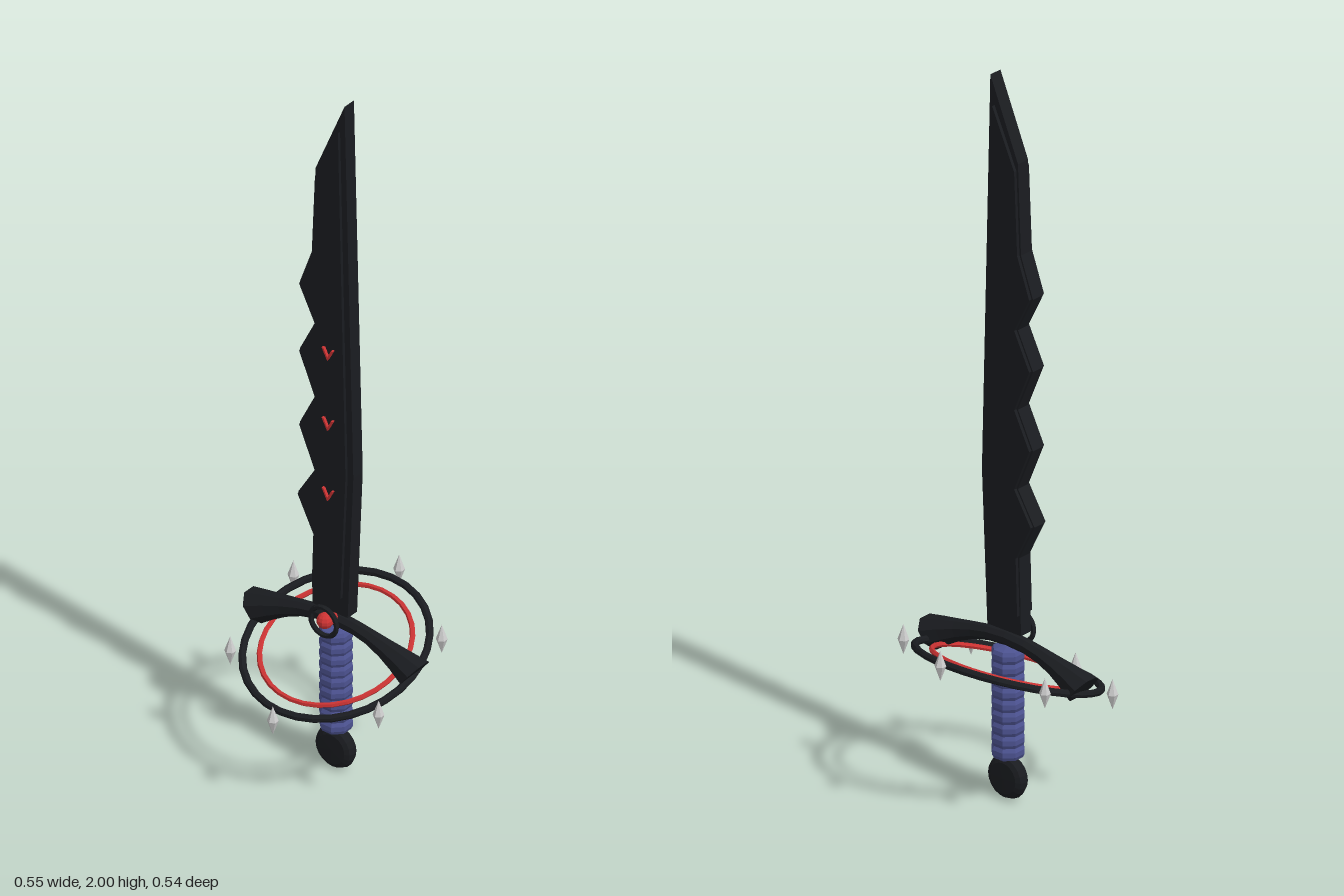
import * as THREE from 'three';

const mat = (color, extra = {}) => new THREE.MeshStandardMaterial({ color, flatShading: true, ...extra });
const black = mat(0x1a1c20), red = mat(0xcc3333), blue = mat(0x4c5290), grey = mat(0xcccccc);
const V = (x, y) => new THREE.Vector2(x, y);

// Flat plate of the given outline, centred on z = 0
function plate(points, depth) {
  const g = new THREE.ExtrudeGeometry(new THREE.Shape(points.map(p => V(...p))), { depth, bevelEnabled: false });
  return g.translate(0, 0, -depth / 2);
}

// Eight-sided bar swept along stations [x, y, radius, tilt]
function sweptBar(stations, sides = 8) {
  const pos = [], idx = [], n = stations.length;
  for (const [x, y, r, tilt] of stations)
    for (let j = 0; j < sides; j++) {
      const a = (j + 0.5) / sides * Math.PI * 2, u = Math.cos(a) * r;
      pos.push(x - Math.sin(tilt) * u, y + Math.cos(tilt) * u, Math.sin(a) * r);
    }
  for (let i = 0; i < n - 1; i++)
    for (let j = 0; j < sides; j++) {
      const a = i * sides + j, b = i * sides + (j + 1) % sides;
      idx.push(a, b, a + sides, b, b + sides, a + sides);
    }
  const last = (n - 1) * sides;
  for (let j = 1; j < sides - 1; j++) idx.push(0, j + 1, j, last, last + j, last + j + 1);
  const g = new THREE.BufferGeometry();
  g.setAttribute('position', new THREE.Float32BufferAttribute(pos, 3));
  g.setIndex(idx);
  g.computeVertexNormals();
  return g;
}

export function createModel() {
  const root = new THREE.Group();
  const add = (name, geo, material, parent = root) => {
    const m = new THREE.Mesh(geo, material);
    m.name = name;
    parent.add(m);
    return m;
  };

  // Blade: thin full outline with a thicker, inset body
  const teeth = [[-0.06, 1.53], [-0.1, 1.42], [-0.05, 1.32], [-0.1, 1.22], [-0.05, 1.1],
    [-0.1, 1.0], [-0.05, 0.88], [-0.105, 0.79], [-0.055, 0.69]];
  add('bladeEdge', plate([[-0.06, 0.475], [0.052, 0.475], [0.07, 0.9], [0.042, 2.0], [-0.05, 1.78], ...teeth], 0.038), black);
  add('bladeBody', plate([[-0.055, 0.53], [0.036, 0.53], [0.052, 0.9], [0.028, 1.92], [-0.045, 1.76],
    ...teeth.map(([x, y]) => [x + 0.005, y])], 0.056), black);

  // Red chevrons on the front of the blade
  for (const y of [0.83, 1.04, 1.25]) {
    const c = add('bladeChevron', plate([[-0.018, 0.016], [0, -0.018], [0.018, 0.016], [0.012, 0.016],
      [0, -0.008], [-0.012, 0.016]], 0.01), red);
    c.position.set(0, y, 0.031);
  }

  // Arched crossguard with flared ends
  const half = [[0.06, 0.441, 0.02, -0.12], [0.11, 0.431, 0.022, -0.25], [0.16, 0.416, 0.028, -0.4],
    [0.205, 0.4, 0.037, -0.53], [0.25, 0.382, 0.048, -0.66]];
  const mirrored = half.map(([x, y, r, t]) => [-x, y, r, -t]).reverse();
  add('crossguard', sweptBar([...mirrored, [0, 0.445, 0.02, 0], ...half]), black);

  // Ribbed grip
  const grip = [V(0, 0.12)];
  const ribs = 9, step = 0.3 / ribs;
  for (let i = 0; i < ribs; i++) {
    const y = 0.12 + i * step;
    grip.push(V(0.039, y), V(0.044, y + step * 0.3), V(0.044, y + step * 0.7));
  }
  grip.push(V(0.039, 0.42), V(0, 0.43));
  add('grip', new THREE.LatheGeometry(grip, 8, Math.PI / 8), blue);

  // Disc pommel with a rounded rim
  const rim = [V(0, -0.021), V(0.042, -0.02), V(0.054, -0.014), V(0.06, 0), V(0.054, 0.014), V(0.042, 0.02), V(0, 0.021)];
  const pommel = add('pommel', new THREE.LatheGeometry(rim, 20).rotateX(Math.PI / 2), black);
  pommel.position.y = 0.062;

  // Gem in its round setting
  const gem = add('gem', new THREE.SphereGeometry(0.022, 10, 7), red);
  gem.position.set(0, 0.46, 0.045);
  const setting = add('gemSetting', new THREE.TorusGeometry(0.041, 0.007, 6, 20), black);
  setting.position.set(0, 0.46, 0.05);
  const post = add('gemPost', new THREE.CylinderGeometry(0.016, 0.016, 0.04, 8).rotateX(Math.PI / 2), red);
  post.position.set(0, 0.455, 0.03);

  // Two rings tilted down towards the front
  const tilt = 0.355, centreY = 0.365;
  const rings = new THREE.Group();
  rings.name = 'guardRings';
  rings.position.y = centreY;
  rings.rotation.x = tilt;
  root.add(rings);
  add('outerRing', new THREE.TorusGeometry(0.24, 0.01, 8, 32).rotateX(Math.PI / 2), black, rings);
  add('innerRing', new THREE.TorusGeometry(0.196, 0.007, 6, 32).rotateX(Math.PI / 2), red, rings);

  // Upright crystals floating around the rings
  const crystal = new THREE.LatheGeometry([V(0, -0.042), V(0.015, 0), V(0, 0.042)], 6);
  for (let i = 0; i < 6; i++) {
    const a = i * Math.PI / 3, r = 0.272;
    const c = add('crystal', crystal, grey);
    c.position.set(Math.sin(a) * r, centreY - Math.cos(a) * r * Math.sin(tilt), Math.cos(a) * r * Math.cos(tilt));
  }
  return root;
}
